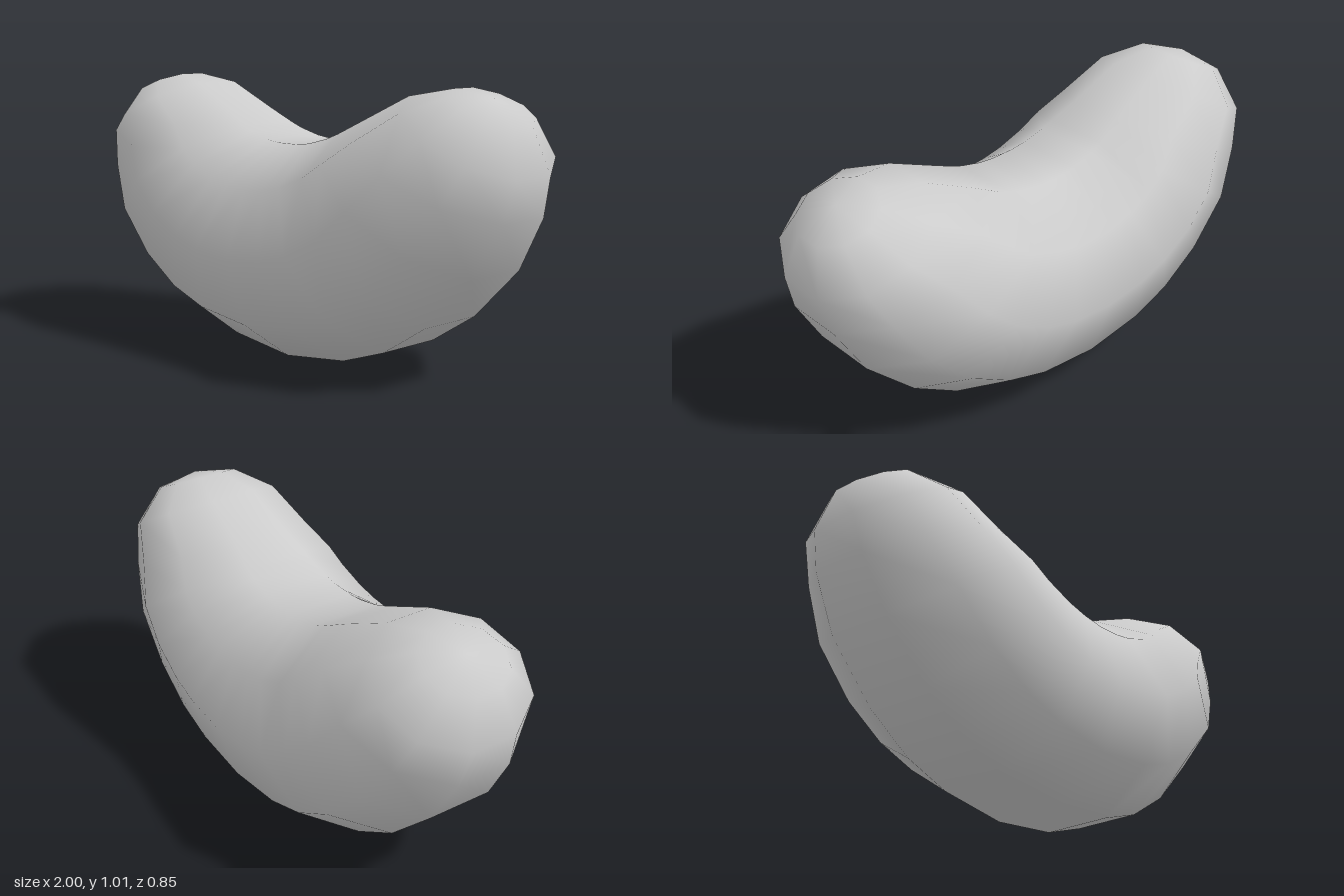
import * as THREE from 'three';

const SIDES = 10;

// Cross-sections from the middle to the tip: inner x, y, outer x, y, half depth
const HALF = [
  [0, 0.79, 0, 0, 0.425],
  [0.05, 0.79, 0.29, 0.035, 0.425],
  [0.11, 0.797, 0.48, 0.1, 0.422],
  [0.2, 0.82, 0.67, 0.22, 0.415],
  [0.25, 0.84, 0.86, 0.41, 0.4],
  [0.35, 0.89, 0.965, 0.6, 0.345],
  [0.55, 0.985, 1, 0.74, 0.29],
  [0.71, 1.015, 0.955, 0.9, 0.16],
];
const TIP = [0.84, 0.985, 0];

function beanGeometry() {
  // Mirror the half profile to get every ring from -x to +x
  const mirrored = HALF.slice(1).reverse().map(([ix, iy, ox, oy, d]) => [-ix, iy, -ox, oy, d]);
  const rings = [...mirrored, ...HALF];
  const positions = [];
  const index = [];

  // Ten-sided rings with a flat side on the inner and outer curve
  for (const [ix, iy, ox, oy, depth] of rings) {
    for (let j = 0; j < SIDES; j++) {
      const a = ((j + 0.5) / SIDES) * Math.PI * 2;
      const t = 0.5 + (0.5 * Math.cos(a)) / Math.cos(Math.PI / SIDES);
      positions.push(ox + (ix - ox) * t, oy + (iy - oy) * t, depth * Math.sin(a));
    }
  }
  const startTip = rings.length * SIDES;
  positions.push(-TIP[0], TIP[1], TIP[2], ...TIP);

  // Skin between rings, then close both ends with fans
  const last = (rings.length - 1) * SIDES;
  for (let j = 0; j < SIDES; j++) {
    const k = (j + 1) % SIDES;
    for (let r = 0; r < last; r += SIDES) {
      const a = r + j, b = r + k, c = b + SIDES, d = a + SIDES;
      index.push(a, b, d, b, c, d);
    }
    index.push(k, j, startTip, last + j, last + k, startTip + 1);
  }

  const geometry = new THREE.BufferGeometry();
  geometry.setAttribute('position', new THREE.Float32BufferAttribute(positions, 3));
  geometry.setIndex(index);
  geometry.computeVertexNormals();
  return geometry;
}

export function createModel() {
  const group = new THREE.Group();
  group.name = 'bean';
  const body = new THREE.Mesh(beanGeometry(), new THREE.MeshStandardMaterial({ color: 0xcccccc }));
  body.name = 'beanBody';
  group.add(body);
  return group;
}
